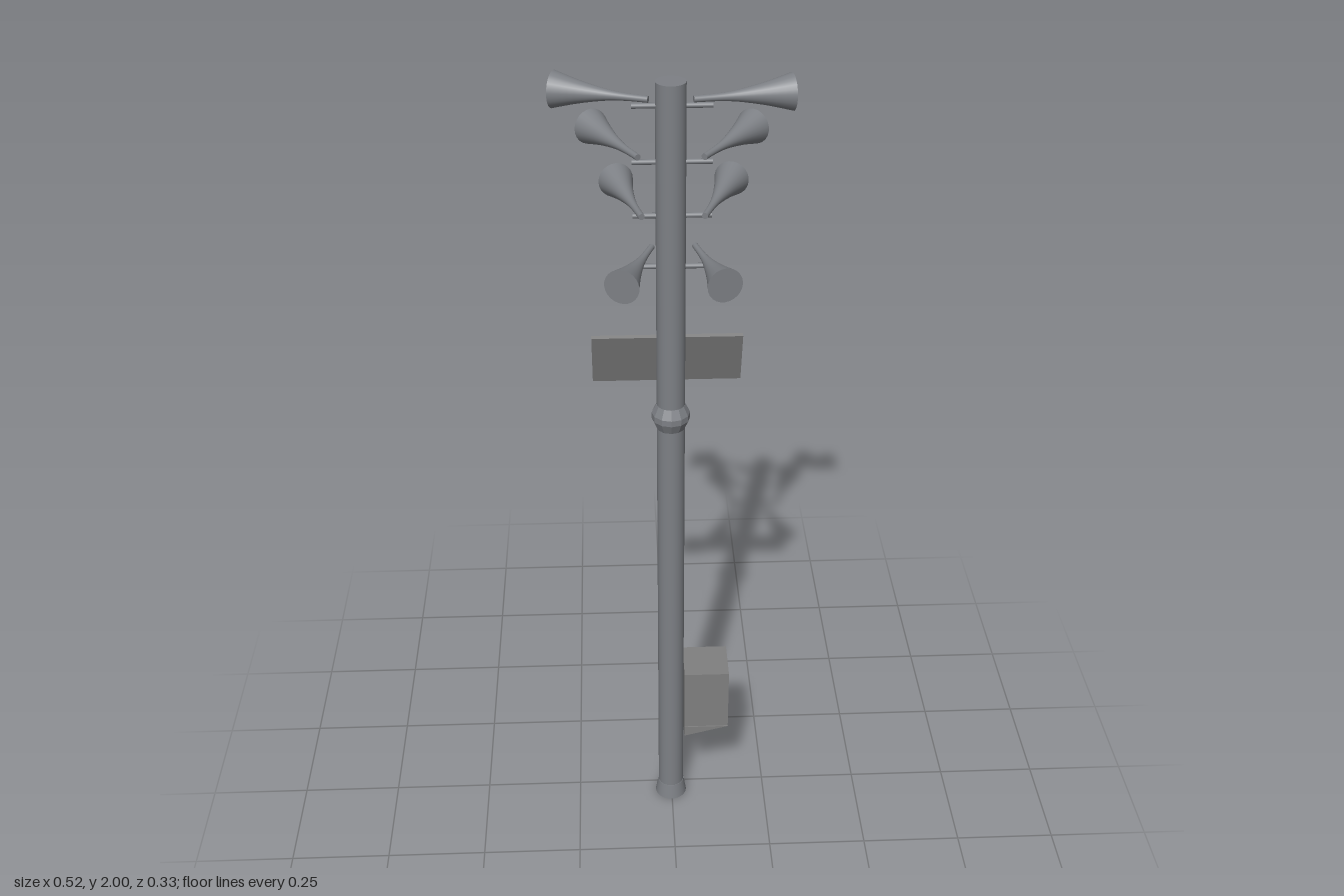
import * as THREE from 'three';

const PX = -0.002, PZ = 0.032; // pole axis

export function createModel() {
  const model = new THREE.Group();
  model.name = 'hornLoudspeakerPole';

  const make = (name, color) => {
    const m = new THREE.MeshStandardMaterial({ color });
    m.name = name;
    return m;
  };
  const steel = make('steel grey', 0x7d8085);
  const sheet = make('sheet grey', 0x808080);

  const add = (name, geo, mat, x = 0, y = 0, z = 0, parent = model) => {
    const mesh = new THREE.Mesh(geo, mat);
    mesh.name = name;
    mesh.position.set(x, y, z);
    parent.add(mesh);
    return mesh;
  };

  // Pole, flared foot and joint collar
  add('pole', new THREE.CylinderGeometry(0.033, 0.033, 2, 32), steel, PX, 1, PZ);
  add('foot', new THREE.CylinderGeometry(0.034, 0.041, 0.042, 32), steel, PX, 0.021, PZ);
  const ring = (bottom, top, y0, y1) => add('collar',
    new THREE.CylinderGeometry(top, bottom, y1 - y0, 12).toNonIndexed(), steel, PX, (y0 + y1) / 2, PZ)
    .geometry.computeVertexNormals();
  ring(0.034, 0.045, 1.165, 1.19);
  ring(0.045, 0.045, 1.19, 1.205);
  ring(0.045, 0.034, 1.205, 1.228);

  // Horns: level, throat end (x, z) and mouth centre (x, z)
  const horns = [
    [1.96, -0.049, 0.028, -0.248, -0.043],
    [1.96, 0.046, 0.030, 0.256, -0.007],
    [1.836, -0.072, 0.036, -0.172, -0.149],
    [1.836, 0.069, 0.038, 0.187, -0.135],
    [1.713, -0.066, 0.066, -0.119, -0.138],
    [1.713, 0.070, 0.066, 0.142, -0.138],
    [1.59, -0.042, -0.047, -0.112, 0.151],
    [1.59, 0.056, -0.050, 0.110, 0.153],
  ];
  const bell = new THREE.SplineCurve([
    [0.007, 0], [0.008, 0.05], [0.0125, 0.095], [0.0245, 0.155], [0.04, 0.212],
  ].map(([r, t]) => new THREE.Vector2(r, t))).getPoints(16);
  const bellGeo = new THREE.LatheGeometry(bell, 24);
  const mouthGeo = new THREE.CircleGeometry(0.04, 24).rotateX(-Math.PI / 2);
  const throatGeo = new THREE.CircleGeometry(0.007, 24).rotateX(Math.PI / 2);
  const up = new THREE.Vector3(0, 1, 0);
  for (const [y, x0, z0, x1, z1] of horns) {
    const horn = new THREE.Group();
    horn.name = 'horn';
    const dir = new THREE.Vector3(x1 - x0, 0, z1 - z0);
    horn.scale.y = dir.length() / 0.212;
    horn.quaternion.setFromUnitVectors(up, dir.normalize());
    horn.position.set(x0, y, z0);
    add('hornBell', bellGeo, steel, 0, 0, 0, horn);
    add('hornMouth', mouthGeo, steel, 0, 0.212, 0, horn);
    add('hornThroat', throatGeo, steel, 0, 0, 0, horn);
    model.add(horn);
  }

  // Cross arms carrying each pair of horns
  for (const y of [1.948, 1.824, 1.701, 1.58]) {
    const arm = add('crossArm', new THREE.CylinderGeometry(0.006, 0.006, 0.172, 12), steel, 0.001, y, PZ);
    arm.rotation.z = Math.PI / 2;
  }

  // Tilted panel behind the pole
  const panel = add('panel', new THREE.BoxGeometry(0.35, 0.145, 0.01), sheet, -0.008, 1.309, -0.042);
  panel.rotation.x = 0.32;

  // Equipment cabinet with a sloped, slightly flared underside
  add('cabinet', new THREE.BoxGeometry(0.114, 0.175, 0.112), sheet, 0.088, 0.3625, PZ);
  const wedge = new THREE.Shape([[0.031, 0.245], [0.145, 0.275], [0.031, 0.275]]
    .map(([x, y]) => new THREE.Vector2(x, y)));
  const wedgeGeo = new THREE.ExtrudeGeometry(wedge, { depth: 0.118, bevelEnabled: false });
  add('cabinetUnderside', wedgeGeo, sheet, 0, 0, PZ - 0.059);

  return model;
}
